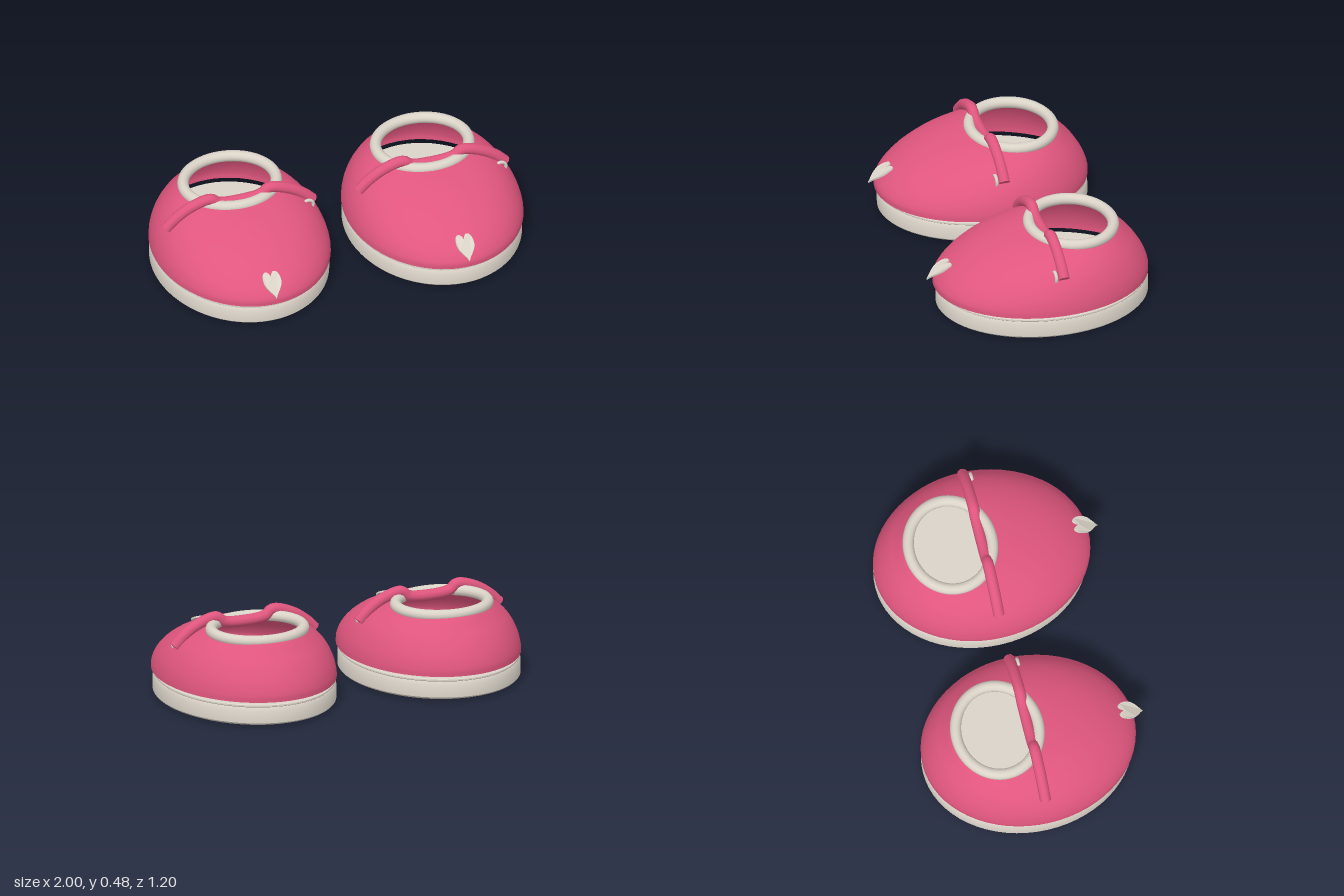
import * as THREE from 'three';
import { mergeVertices, toCreasedNormals } from 'three/addons/utils/BufferGeometryUtils.js';

const pink = new THREE.MeshStandardMaterial({ color: 0xe0567e, side: THREE.DoubleSide });
pink.name = 'pink';
const cream = new THREE.MeshStandardMaterial({ color: 0xdad3c8 });
cream.name = 'cream';

function part(name, geometry, material, parent) {
  const mesh = new THREE.Mesh(geometry, material);
  mesh.name = name;
  parent.add(mesh);
  return mesh;
}

// Domed shell: stacked ellipses, each given as height, front z, back z, half width
function upperGeometry() {
  const levels = [
    [0.132, 0.552, -0.6, 0.468], [0.165, 0.55, -0.6, 0.465], [0.225, 0.505, -0.58, 0.448],
    [0.3, 0.4, -0.535, 0.405], [0.355, 0.28, -0.488, 0.35], [0.397, 0.145, -0.452, 0.285],
    [0.416, 0.05, -0.43, 0.25],
  ];
  const sideCurve = new THREE.CatmullRomCurve3(levels.map(([y, f, b]) => new THREE.Vector3(f, y, b)));
  const widthCurve = new THREE.CatmullRomCurve3(levels.map(([y, , , w]) => new THREE.Vector3(w, y, 0)));
  let g = new THREE.CylinderGeometry(1, 1, 1, 64, 24, true);
  const p = g.attributes.position;
  for (let i = 0; i < p.count; i++) {
    const t = THREE.MathUtils.clamp(p.getY(i) + 0.5, 0, 1);
    const s = sideCurve.getPoint(t), w = widthCurve.getPoint(t).x;
    p.setXYZ(i, p.getX(i) * w, s.y, (s.x + s.z) / 2 + p.getZ(i) * (s.x - s.z) / 2);
  }
  g.deleteAttribute('uv');
  g.deleteAttribute('normal');
  g = mergeVertices(g, 1e-5);
  g.computeVertexNormals();
  return g;
}

// Solid elliptical slab from an edge profile of [inset, height]
function slabGeometry(rx, rz, profile) {
  const pts = [[1, profile[0][1]], ...profile, [1, profile[profile.length - 1][1]]].map(
    ([inset, y], i, a) => new THREE.Vector2(i === 0 || i === a.length - 1 ? 0 : 1 - inset / 0.5, y));
  const g = new THREE.LatheGeometry(pts, 64);
  g.scale(rx, 1, rz);
  return toCreasedNormals(g, 0.6);
}

function heartGeometry() {
  const s = new THREE.Shape();
  s.moveTo(0, -0.078);
  s.bezierCurveTo(0.012, -0.045, 0.047, -0.025, 0.048, 0.022);
  s.bezierCurveTo(0.049, 0.085, 0.01, 0.095, 0, 0.042);
  s.bezierCurveTo(-0.01, 0.095, -0.049, 0.085, -0.048, 0.022);
  s.bezierCurveTo(-0.047, -0.025, -0.012, -0.045, 0, -0.078);
  const g = new THREE.ExtrudeGeometry(s, { depth: 0.009, bevelEnabled: false, curveSegments: 12 });
  // Gentle bow along its length
  const p = g.attributes.position;
  for (let i = 0; i < p.count; i++) p.setZ(i, p.getZ(i) - 1.6 * p.getY(i) ** 2);
  g.computeVertexNormals();
  return g;
}

function createShoe() {
  const shoe = new THREE.Group();

  // Sole with a thin welt on top
  part('sole', slabGeometry(0.463, 0.567,
    [[0.03, 0], [0.008, 0.009], [0, 0.018], [0, 0.085], [0.009, 0.102]]), cream, shoe).position.z = -0.032;
  part('welt', slabGeometry(0.456, 0.559,
    [[0.007, 0.1], [0, 0.106], [0, 0.114], [0.004, 0.118]]), cream, shoe).position.z = -0.032;

  part('upper', upperGeometry(), pink, shoe);

  // Rolled collar around the foot opening
  const rim = new THREE.EllipseCurve(0, 0, 0.248, 0.22).getPoints(48).slice(0, -1)
    .map((v) => new THREE.Vector3(v.x, 0, v.y));
  const rimPath = new THREE.CatmullRomCurve3(rim, true);
  part('collar', new THREE.TubeGeometry(rimPath, 64, 0.03, 12, true), cream, shoe)
    .position.set(0, 0.415, -0.193);

  // Strap climbs each side, crests the collar and sags inside it
  const half = [[0.405, 0.318], [0.35, 0.372], [0.28, 0.418], [0.19, 0.45], [0.155, 0.449], [0.12, 0.422]];
  const pts = [...half.map(([x, y]) => [-x, y]), [0, 0.41], ...half.slice().reverse()];
  const path = new THREE.CatmullRomCurve3(pts.map(([x, y]) => new THREE.Vector3(x, y, -0.029)));
  const strap = new THREE.Group();
  strap.name = 'strap';
  shoe.add(strap);
  part('strapBand', new THREE.TubeGeometry(path, 80, 0.03, 10), pink, strap);
  for (const t of [0, 1]) {
    const cap = part('strapEnd', new THREE.CircleGeometry(0.03, 10), pink, strap);
    cap.position.copy(path.getPoint(t));
    const out = path.getTangent(t).multiplyScalar(t ? 1 : -1);
    cap.quaternion.setFromUnitVectors(new THREE.Vector3(0, 0, 1), out);
  }

  // Small ring buckle half sunk into the side
  const buckle = part('buckle', new THREE.TorusGeometry(0.028, 0.009, 8, 28), cream, shoe);
  buckle.position.set(0.368, 0.316, 0.01);

  // Heart ornament above the toe
  const heart = part('heart', heartGeometry(), cream, shoe);
  heart.position.set(0, 0.251, 0.538);
  heart.rotation.x = -0.99;
  return shoe;
}

export function createModel() {
  const model = new THREE.Group();
  model.name = 'shoes';
  for (const side of [1, -1]) {
    const shoe = createShoe();
    shoe.name = side > 0 ? 'leftShoe' : 'rightShoe';
    shoe.position.x = side * 0.532;
    // The right shoe is a touch shorter, with the heels level
    if (side < 0) {
      shoe.scale.z = 0.99;
      shoe.position.z = -0.006;
    }
    model.add(shoe);
  }
  return model;
}
